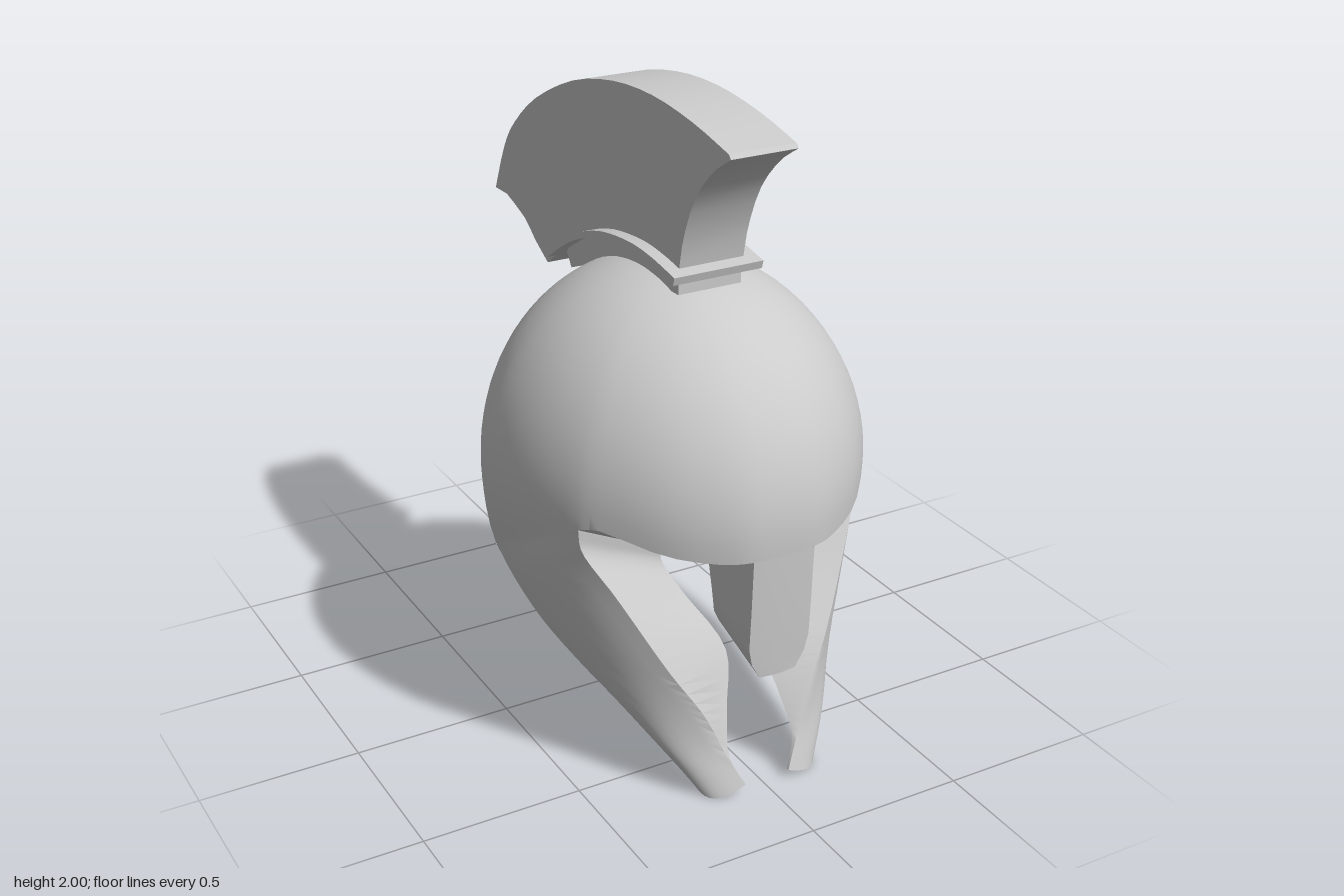
import * as THREE from 'three';
import { mergeGeometries, toCreasedNormals } from 'three/addons/utils/BufferGeometryUtils.js';

const V = (x, y, z) => new THREE.Vector3(x, y, z);
const curve = (pts) => new THREE.CatmullRomCurve3(pts.map((p) => V(...p)), false, 'centripetal');
const flip = (p) => V(-p.x, p.y, p.z);
const mirrorRows = (rows) => rows.map((r) => r.map(flip).reverse());
const range = (n, f) => Array.from({ length: n + 1 }, (_, i) => f(i / n));

// Skin a list of equal-length rows of points with triangles
function grid(rows) {
  const pos = [];
  const tri = (a, b, c) => {
    const area = b.clone().sub(a).cross(c.clone().sub(a)).length();
    if (area > 1e-8) for (const p of [a, b, c]) pos.push(p.x, p.y, p.z);
  };
  for (let i = 0; i < rows.length - 1; i++) {
    for (let j = 0; j < rows[i].length - 1; j++) {
      const a = rows[i][j], b = rows[i + 1][j], c = rows[i + 1][j + 1], d = rows[i][j + 1];
      tri(a, b, c);
      tri(a, c, d);
    }
  }
  const g = new THREE.BufferGeometry();
  g.setAttribute('position', new THREE.Float32BufferAttribute(pos, 3));
  return g;
}

// Cheek guard edges, from the top down (left side)
const cheekRear = curve([[.53, .62, .03], [.52, .55, .13], [.49, .46, .25], [.43, .36, .36],
  [.36, .26, .48], [.28, .14, .6], [.2, .02, .67]]);
const cheekFront = curve([[.48, .86, .48], [.47, .79, .48], [.395, .65, .545], [.27, .41, .64],
  [.185, .27, .69], [.12, .12, .72], [.075, .03, .75]]);
const cheekInner = curve([[.2, .72, .46], [.2, .68, .46], [.15, .58, .5], [.06, .41, .6],
  [.09, .25, .66], [.11, .12, .71], [.075, .03, .74]]);

// Point on the outside of the cheek guard: t runs down, v runs front to rear
function cheekPoint(t, v) {
  const p = cheekFront.getPoint(t).lerp(cheekRear.getPoint(t), v);
  const bow = 4 * v * (1 - v);
  p.x += .03 * bow;
  p.z += .02 * t * bow;
  p.y -= .025 * bow * t ** 8;
  return p;
}

// Eye brow edge and the lip around the back of the skull (left half)
const browOuter = curve([[0, .81, .81], [.1, .81, .803], [.175, .81, .775], [.31, .83, .69],
  [.45, .875, .53], [.48, .86, .48]]);
const browInner = curve([[0, .7, .57], [.1, .7, .56], [.13, .7, .54], [.16, .71, .51],
  [.19, .718, .475], [.2, .72, .46]]);
const lip = curve([[.53, .62, .03], [.49, .69, -.1], [.42, .78, -.23], [.31, .875, -.35],
  [.17, .95, -.43], [0, .975, -.445]]);

// Skull dome: swept from the crown down to its lower edge
function domeGeometry() {
  const half = [
    ...range(14, (t) => browOuter.getPoint(t)),
    ...range(10, (v) => cheekPoint(0, v)).slice(1),
    ...range(14, (t) => lip.getPoint(t)).slice(1),
  ];
  const loop = [...half, ...half.map(flip).reverse().slice(1)];
  const centre = V(0, .88, .18), radii = V(.555, .61, .63), up = V(0, 1, 0);
  return grid(range(20, (s) => loop.map((edge) => {
    const d = edge.clone().sub(centre).divide(radii);
    const size = THREE.MathUtils.lerp(1, d.length(), s ** 3);
    const axis = up.clone().cross(d).normalize();
    const p = up.clone().applyAxisAngle(axis, up.angleTo(d) * s).multiplyScalar(size);
    p.multiply(radii).add(centre);
    p.z = Math.max(p.z, -.445);
    return p;
  })));
}

// Sloping underside of the back of the skull, ending in a straight neck edge
function undersideGeometry() {
  const half = range(14, (t) => lip.getPoint(t));
  const edge = [...half, ...half.map(flip).reverse().slice(1)];
  const n = edge.length - 1;
  return grid(range(8, (s) => edge.map((p, j) => {
    const q = p.clone().lerp(V(.53 * (1 - 2 * j / n), .615, .03), s);
    const bulge = .05 * Math.sin(Math.PI * s) * Math.sin(Math.PI * j / n);
    return q.add(V(0, -.8 * bulge, -.6 * bulge));
  })));
}

// Flat roof of the face opening
function roofGeometry() {
  const inner = range(14, (t) => browInner.getPoint(t));
  const front = [...inner.slice().reverse(), ...inner.map(flip).slice(1)];
  const n = front.length - 1;
  return grid([front.map((_, j) => V(.53 * (1 - 2 * j / n), .615, .03)), front]);
}

// Thick upper rim of the eye openings
function browGeometry() {
  return grid([browOuter, browInner].map((c) => {
    const half = range(14, (t) => c.getPoint(t));
    return [...half.map(flip).reverse(), ...half.slice(1)];
  }));
}

// Cheek guard: outside, inside and wide front rim as one closed ring
function cheekRows() {
  return range(26, (t) => [
    ...range(8, (v) => cheekPoint(t, v)),
    ...range(4, (v) => cheekRear.getPoint(t).lerp(cheekInner.getPoint(t), v)).slice(1),
    cheekFront.getPoint(t),
  ]);
}

// Nose guard: tapering bar, [half width, front y, front z, back y, back z]
function noseGeometry() {
  const rings = [[.1, .81, .803, .7, .56], [.1, .65, .797, .62, .58], [.1, .52, .79, .55, .595],
    [.088, .465, .787, .52, .602], [.06, .415, .785, .5, .61]]
    .map(([w, fy, fz, by, bz]) => [V(-w, fy, fz), V(0, fy, fz + .007), V(w, fy, fz),
      V(w, by, bz), V(-w, by, bz), V(-w, fy, fz)]);
  const e = rings[rings.length - 1];
  const backMid = e[3].clone().lerp(e[4], .5);
  return mergeGeometries([grid(rings), grid([[e[0], e[1], e[2]], [e[4], backMid, e[3]]])]);
}

// Side outline in (z, y) extruded across x
function sideExtrude(points, width) {
  const shape = new THREE.Shape(points.map(([z, y]) => new THREE.Vector2(z, y)));
  const g = new THREE.ExtrudeGeometry(shape, { depth: width, bevelEnabled: false });
  g.rotateY(-Math.PI / 2).translate(width / 2, 0, 0);
  return toCreasedNormals(g, .5);
}
const smooth = (pts, n) => new THREE.SplineCurve(pts.map((p) => new THREE.Vector2(...p)))
  .getPoints(n).map((p) => [p.x, p.y]);

export function createModel() {
  const group = new THREE.Group();
  const material = new THREE.MeshStandardMaterial({ color: 0xcccccc, side: THREE.DoubleSide });
  const add = (name, geometry) => {
    const mesh = new THREE.Mesh(geometry, material);
    mesh.name = name;
    group.add(mesh);
  };

  // Helmet shell
  const cheek = cheekRows();
  add('helmetShell', toCreasedNormals(mergeGeometries([
    domeGeometry(), undersideGeometry(), roofGeometry(), browGeometry(),
    grid(cheek), grid(mirrorRows(cheek)),
  ]), .95));
  add('noseGuard', toCreasedNormals(noseGeometry(), .6));

  // Curved plate under the crest
  const arc = smooth([[.43, 1.535], [.3, 1.555], [.17, 1.56], [0, 1.538], [-.15, 1.488],
    [-.26, 1.428], [-.35, 1.367]], 20);
  const lowered = (d) => arc.map(([z, y]) => [z - d * .3, y - d]).reverse();
  add('crestPlate', sideExtrude([...arc, ...lowered(.025)], .29));

  // Support strip between plate and skull
  const strip = arc.filter(([z]) => z < .385 && z > -.3).map(([z, y]) => [z, y - .01]);
  add('crestSupport', sideExtrude([[.38, 1.46], [.38, 1.53], ...strip, [-.31, 1.37],
    [-.28, 1.325], [-.1, 1.4], [.15, 1.45]], .205));

  // Crest
  add('crest', sideExtrude([
    ...smooth([[.385, 1.53], [.41, 1.64], [.47, 1.77], [.56, 1.87], [.65, 1.93]], 10),
    ...smooth([[.64, 1.942], [.45, 1.98], [.23, 2], [0, 1.985], [-.25, 1.925], [-.5, 1.81],
      [-.66, 1.69], [-.74, 1.59], [-.815, 1.43]], 24),
    ...smooth([[-.73, 1.432], [-.6, 1.39], [-.53, 1.34], [-.44, 1.29]], 6),
    [-.38, 1.335],
    ...arc.slice().reverse().filter(([z]) => z < .37),
  ], .21));

  return group;
}
